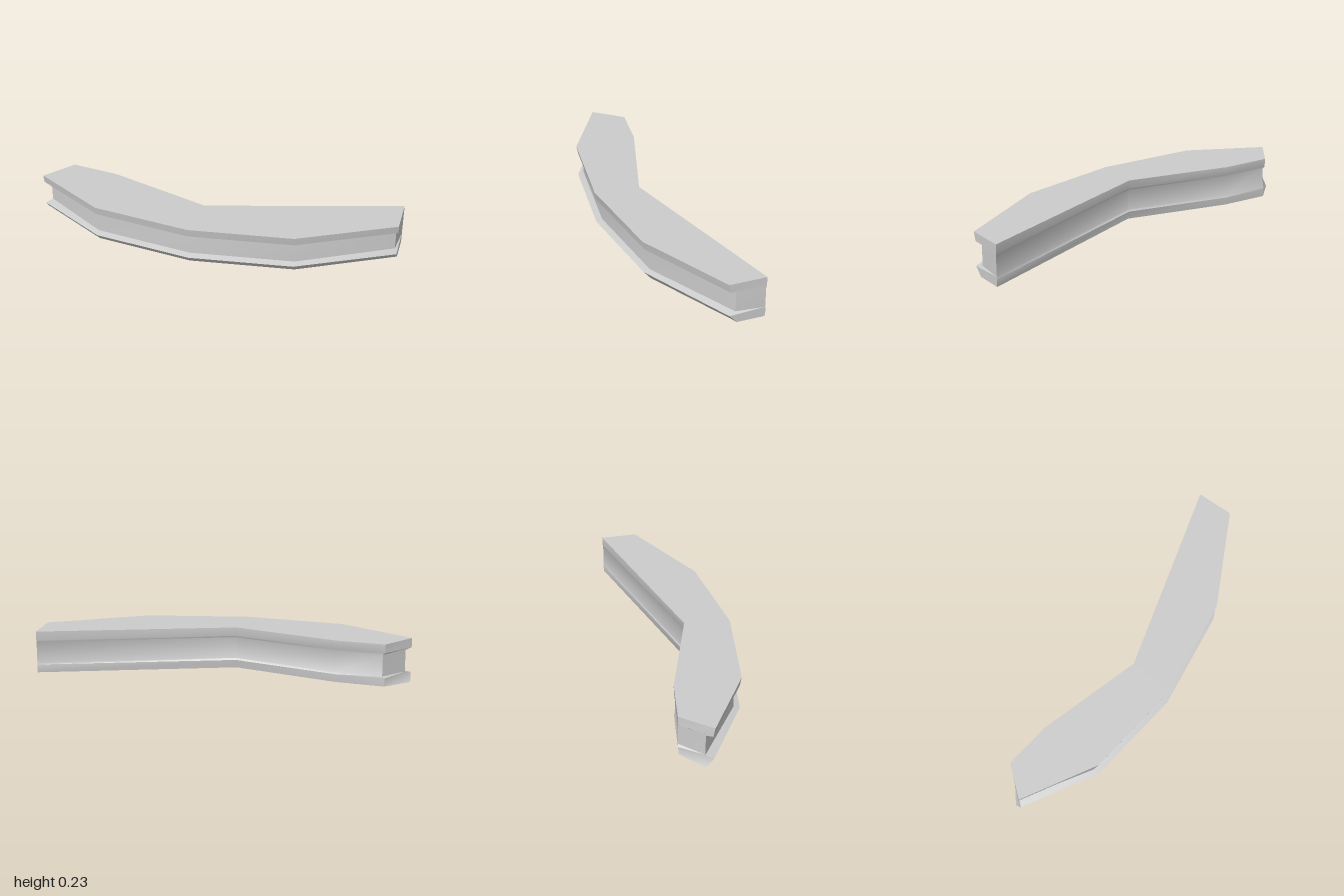
import * as THREE from 'three';
import { toCreasedNormals } from 'three/addons/utils/BufferGeometryUtils.js';

// Plan corners, front edge left to right then back edge: [x, z, web inset x, web inset z]
const corners = [
  [-1, -0.03, 0.03, -0.04],
  [-0.61, 0.197, 0, -0.04],
  [-0.07, 0.265, 0, -0.04],
  [0.49, 0.193, 0, -0.04],
  [1, -0.065, -0.015, -0.045],
  [1, -0.267, 0, 0.004],
  [-0.045, 0.018, 0, 0.01],
  [-0.61, -0.155, 0, 0.008],
  [-0.87, -0.187, 0.012, 0.004],
];

// Section levels: [y, share of inset x, share of inset z]
const levels = [
  [0, 0, 1.1],      // underside
  [0.045, 0, 0.15], // lower lip
  [0.055, 1, 1],    // foot of the web
  [0.172, 1, 1],    // head of the web
  [0.182, 0, 0.25], // upper lip
  [0.23, 0, 0],     // top
];

function beamGeometry() {
  const n = corners.length;
  const positions = [];
  const index = [];
  for (const [y, kx, kz] of levels) {
    for (const [x, z, ix, iz] of corners) positions.push(x + ix * kx, y, z + iz * kz);
  }
  // Sides
  for (let l = 0; l < levels.length - 1; l++) {
    for (let i = 0; i < n; i++) {
      const a = l * n + i;
      const b = l * n + ((i + 1) % n);
      index.push(a, b, b + n, a, b + n, a + n);
    }
  }
  // Top and bottom faces
  const outline = corners.map(([x, z]) => new THREE.Vector2(x, -z));
  const last = (levels.length - 1) * n;
  for (const [a, b, c] of THREE.ShapeUtils.triangulateShape(outline, [])) {
    index.push(last + a, last + b, last + c, c, b, a);
  }
  const geometry = new THREE.BufferGeometry();
  geometry.setAttribute('position', new THREE.Float32BufferAttribute(positions, 3));
  geometry.setIndex(index);
  return toCreasedNormals(geometry, 0.7);
}

export function createModel() {
  const group = new THREE.Group();
  group.name = 'curvedBeam';
  const beam = new THREE.Mesh(beamGeometry(), new THREE.MeshStandardMaterial({ color: 0xcccccc }));
  beam.name = 'flangedBeam';
  group.add(beam);
  return group;
}
